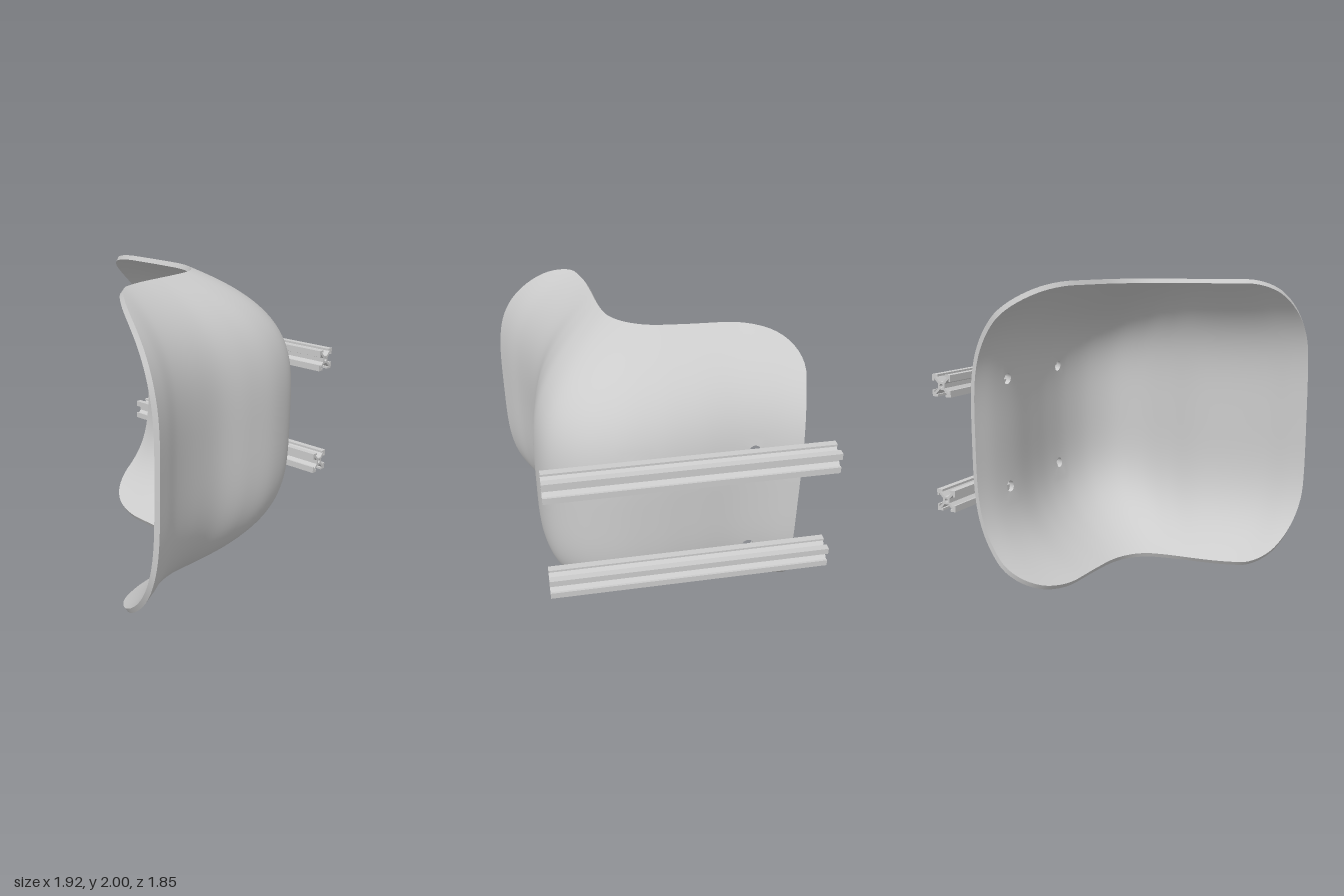
import * as THREE from 'three';

const material = new THREE.MeshStandardMaterial({ color: 0xcccccc, roughness: 0.6 });
const THICKNESS = 0.033;
const HOLE_RADIUS = 0.037;

// Paired [x, z] stations: shell centre line (y = 1) and side edge (y = 0 and 2)
const curve = (pts) => new THREE.CatmullRomCurve3(pts.map(([x, z]) => new THREE.Vector3(x, 0, z)));
const centre = curve([
  [-0.78, -0.775], [-0.62, -0.735], [-0.42, -0.725], [-0.15, -0.76], [0.1, -0.785],
  [0.35, -0.775], [0.57, -0.7], [0.73, -0.55], [0.795, -0.33], [0.78, -0.08],
  [0.745, 0.18], [0.775, 0.42], [0.84, 0.65], [0.91, 0.8], [0.96, 0.915],
]);
const edge = curve([
  [-0.88, -0.27], [-0.66, -0.27], [-0.4, -0.25], [-0.15, -0.235], [0.05, -0.21],
  [0.15, -0.17], [0.23, -0.11], [0.285, -0.03], [0.315, 0.09], [0.33, 0.2],
  [0.345, 0.34], [0.365, 0.48], [0.41, 0.63], [0.5, 0.8], [0.56, 0.92],
]);

// Outer surface: s runs from backrest top to seat front, t across from -1 to 1
function surface(s, t) {
  const p = centre.getPoint(s).lerp(edge.getPoint(s), Math.abs(t) ** 3.8);
  p.y = 1 + t;
  return p;
}

// Normal towards the sitting side
function surfaceNormal(s, t) {
  const e = 1e-3;
  const ds = surface(Math.min(1, s + e), t).sub(surface(Math.max(0, s - e), t));
  const dt = surface(s, t + e).sub(surface(s, t - e));
  return ds.cross(dt).normalize();
}

// How far a rounded corner cuts into the end of the shell
function cornerTrim(t, start, reach) {
  const k = Math.max(0, (Math.abs(t) - start) / (1 - start));
  return reach * (1 - Math.sqrt(Math.max(0, 1 - k * k)));
}

function makeGeometry(points, index) {
  const g = new THREE.BufferGeometry().setFromPoints(points);
  g.setIndex(index);
  g.computeVertexNormals();
  return g;
}

function createShell() {
  const NU = 84, NV = 64;
  const id = (i, j) => i * (NV + 1) + j;
  const params = [];
  for (let i = 0; i <= NU; i++) {
    for (let j = 0; j <= NV; j++) {
      const t = Math.sin((j / NV - 0.5) * Math.PI);
      const s0 = cornerTrim(t, 0.78, 2 / 14);
      const s1 = 1 - cornerTrim(t, 0.5, 2 / 14);
      params.push([s0 + (s1 - s0) * i / NU, t]);
    }
  }

  // Counter-clockwise outline of a block of grid cells
  function outline(i0, i1, j0, j1) {
    const loop = [];
    for (let i = i0; i < i1; i++) loop.push(id(i, j0));
    for (let j = j0; j < j1; j++) loop.push(id(i1, j));
    for (let i = i1; i > i0; i--) loop.push(id(i, j1));
    for (let j = j1; j > j0; j--) loop.push(id(i0, j));
    return loop;
  }

  const faces = [];
  const quad = (a, b, c, d) => faces.push(a, b, c, a, c, d);
  const blocks = [];
  const holeLoops = [];

  // Screw holes: swap a block of cells for a ring that ends in a circle
  for (const hx of [-0.5, 0.23]) {
    for (const hy of [0.64, 1.37]) {
      let best = Infinity, ci = 0, cj = 0;
      for (let i = 0; i < NU / 2; i++) {
        for (let j = 0; j <= NV; j++) {
          const p = surface(...params[id(i, j)]);
          const d = Math.hypot(p.x - hx, p.y - hy);
          if (d < best) [best, ci, cj] = [d, i, j];
        }
      }
      const block = [ci - 2, ci + 2, cj - 2, cj + 2];
      blocks.push(block);
      const loop = outline(...block);
      const circle = loop.map((v) => {
        const p = surface(...params[v]);
        const a = Math.atan2(p.y - hy, p.x - hx);
        const x = hx + HOLE_RADIUS * Math.cos(a);
        const t = hy + HOLE_RADIUS * Math.sin(a) - 1;
        let lo = 0, hi = 0.5;
        for (let n = 0; n < 30; n++) {
          const mid = (lo + hi) / 2;
          if (surface(mid, t).x < x) lo = mid; else hi = mid;
        }
        return params.push([lo, t]) - 1;
      });
      loop.forEach((v, k) => {
        const n = (k + 1) % loop.length;
        quad(v, loop[n], circle[n], circle[k]);
      });
      holeLoops.push(circle);
    }
  }

  for (let i = 0; i < NU; i++) {
    for (let j = 0; j < NV; j++) {
      if (blocks.some(([a, b, c, d]) => i >= a && i < b && j >= c && j < d)) continue;
      quad(id(i, j), id(i + 1, j), id(i + 1, j + 1), id(i, j + 1));
    }
  }

  const outer = params.map(([s, t]) => surface(s, t));
  const inner = params.map(([s, t], k) =>
    outer[k].clone().addScaledVector(surfaceNormal(s, t), THICKNESS));
  const reversed = [];
  for (let k = 0; k < faces.length; k += 3) reversed.push(faces[k], faces[k + 2], faces[k + 1]);

  // Wall joining both sheets along a closed loop
  function wall(loop) {
    const n = loop.length, index = [];
    for (let k = 0; k < n; k++) {
      const m = (k + 1) % n;
      index.push(k, m, n + m, k, n + m, n + k);
    }
    return makeGeometry([...loop.map((v) => outer[v]), ...loop.map((v) => inner[v])], index);
  }

  const shell = new THREE.Group();
  shell.name = 'seatShell';
  const add = (name, geometry) => {
    const mesh = new THREE.Mesh(geometry, material);
    mesh.name = name;
    shell.add(mesh);
  };
  add('shellOuterSurface', makeGeometry(outer, reversed));
  add('shellInnerSurface', makeGeometry(inner, faces));
  add('shellRim', wall(outline(0, NU, 0, NV)));
  for (const loop of holeLoops) add('screwHoleWall', wall([...loop].reverse()));
  return shell;
}

// Slotted rail: one side of the section repeated four times around a bored core
function createRailGeometry() {
  const h = 0.069, length = 1.745;
  const side = [[1, -1], [1, -0.4], [0.8, -0.4], [0.8, -0.64], [0.36, -0.2],
    [0.36, 0.2], [0.8, 0.64], [0.8, 0.4], [1, 0.4]];
  const points = [];
  for (let q = 0; q < 4; q++) {
    for (const [x, y] of side) {
      points.push(new THREE.Vector2(x * h, y * h).rotateAround(new THREE.Vector2(), q * Math.PI / 2));
    }
  }
  const shape = new THREE.Shape(points);
  shape.holes.push(new THREE.Path().absarc(0, 0, 0.18 * h, 0, Math.PI * 2, true));
  const g = new THREE.ExtrudeGeometry(shape, { depth: length, bevelEnabled: false, curveSegments: 12 });
  return g.rotateY(Math.PI / 2).translate(-0.965, 0, -0.852);
}

export function createModel() {
  const model = new THREE.Group();
  model.name = 'seatShellOnRails';
  model.add(createShell());

  // Two mounting rails behind the backrest
  const railGeometry = createRailGeometry();
  [['lowerRail', 0.64], ['upperRail', 1.37]].forEach(([name, y]) => {
    const rail = new THREE.Mesh(railGeometry, material);
    rail.name = name;
    rail.position.y = y;
    model.add(rail);
  });
  return model;
}
